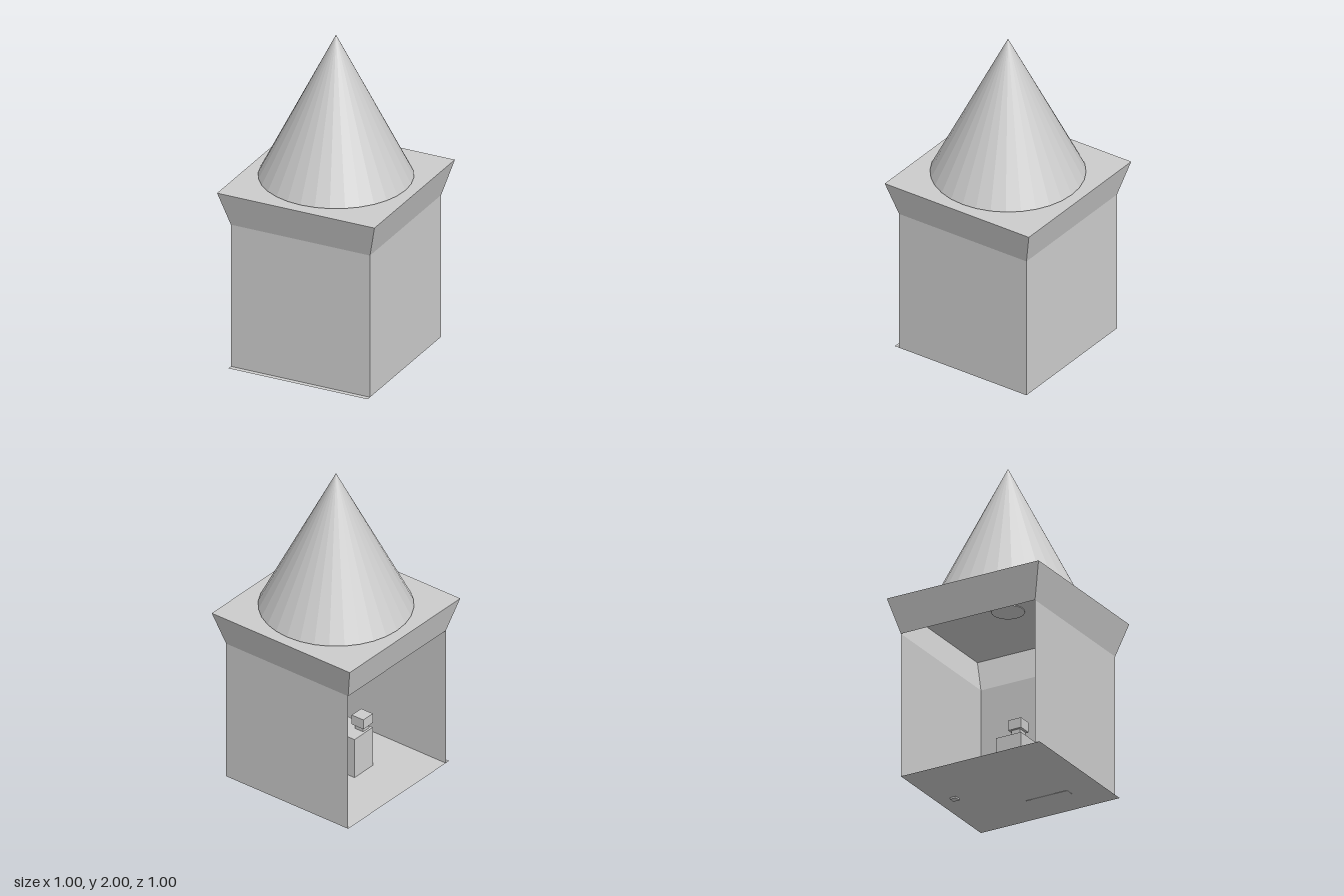
import * as THREE from 'three';

export function createModel() {
  const model = new THREE.Group();
  const mat = new THREE.MeshStandardMaterial({ color: 0xcccccc, flatShading: true, side: THREE.DoubleSide });
  const W = 0.442, FLOOR = 0.01, EAVE = 0.9, TOP = 1.11, RIM = 0.5;

  const add = (name, geometry, x = 0, y = 0, z = 0) => {
    const mesh = new THREE.Mesh(geometry, mat);
    mesh.name = name;
    mesh.position.set(x, y, z);
    model.add(mesh);
    return mesh;
  };
  // box given by its lowest and highest corner
  const block = (name, [x0, y0, z0], [x1, y1, z1]) =>
    add(name, new THREE.BoxGeometry(x1 - x0, y1 - y0, z1 - z0), (x0 + x1) / 2, (y0 + y1) / 2, (z0 + z1) / 2);

  // three thin walls; the -x side is open
  const wallY = (FLOOR + EAVE) / 2;
  const wall = () => new THREE.PlaneGeometry(2 * W, EAVE - FLOOR);
  add('frontWall', wall(), 0, wallY, W);
  add('backWall', wall(), 0, wallY, -W).rotation.y = Math.PI;
  add('leftWall', wall(), W, wallY, 0).rotation.y = Math.PI / 2;

  // thin floor with a small lip past the front wall
  const lip = 0.03;
  add('floor', new THREE.PlaneGeometry(2 * W, 2 * W + lip), 0, FLOOR, lip / 2).rotation.x = -Math.PI / 2;

  // flared band and flat deck
  const band = new THREE.CylinderGeometry(RIM * Math.SQRT2, W * Math.SQRT2, TOP - EAVE, 4, 1, true);
  band.rotateY(Math.PI / 4);
  add('flaredBand', band, 0, (EAVE + TOP) / 2, 0);
  add('deck', new THREE.PlaneGeometry(2 * RIM, 2 * RIM), 0, TOP, 0).rotation.x = -Math.PI / 2;

  // cone roof resting on a small disc
  add('roofDisc', new THREE.CylinderGeometry(0.095, 0.095, 0.02, 32), 0, TOP + 0.005, 0);
  add('coneRoof', new THREE.ConeGeometry(0.442, 0.88, 32), 0, 1.56, 0);

  // furniture inside
  block('seatBase', [-0.134, FLOOR, 0], [0.2, 0.265, 0.166]);
  block('seatBack', [0.2, FLOOR - 0.002, 0], [0.255, 0.3, 0.27]);
  block('armrestNeck', [-0.12, 0.265, 0.095], [-0.06, 0.3, 0.15]);
  block('armrest', [-0.134, 0.295, 0.08], [-0.05, 0.357, 0.166]);
  block('post', [-0.055, 0, -0.35], [-0.015, 0.2, -0.31]);

  return model;
}
